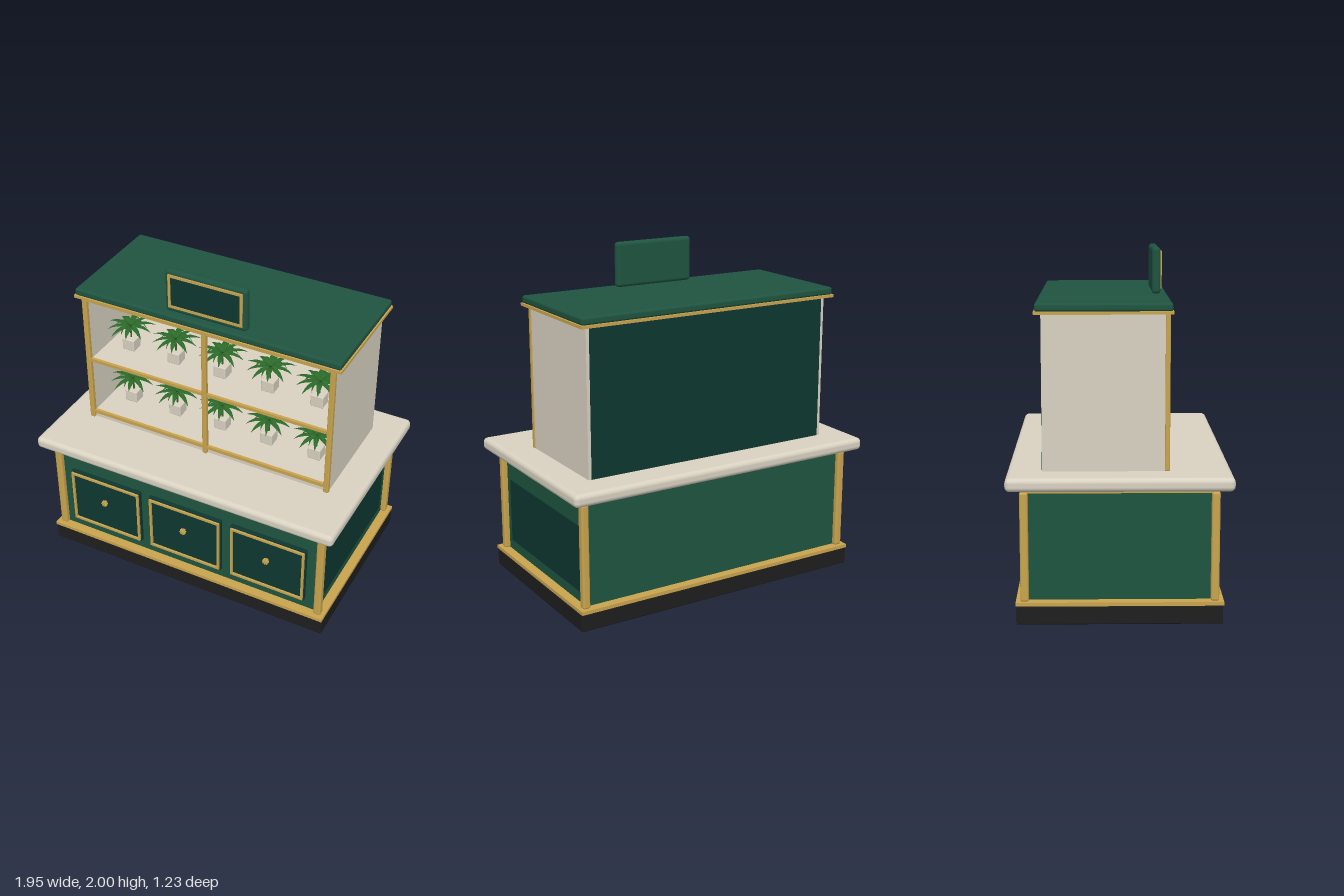
import * as THREE from 'three';
import { mergeGeometries } from 'three/addons/utils/BufferGeometryUtils.js';
import { RoundedBoxGeometry } from 'three/addons/geometries/RoundedBoxGeometry.js';

const mat = (name, color, extra = {}) =>
  Object.assign(new THREE.MeshStandardMaterial({ color, ...extra }), { name });

export function createModel() {
  const green = mat('cabinet green', 0x1f5440);
  const dark = mat('panel dark green', 0x0d3731);
  const gold = mat('gold trim', 0xc9a44e);
  const cream = mat('cream stone', 0xd9d2c2);
  const black = mat('plinth black', 0x1e1e1e);
  const leaf = mat('leaf green', 0x2c6a2a, { side: THREE.DoubleSide });
  const stemMat = mat('stem green', 0x3c5f2a);

  const model = new THREE.Group();
  model.name = 'plantDisplayCounter';

  const add = (name, geometry, material, parent = model) => {
    const mesh = new THREE.Mesh(geometry, material);
    mesh.name = name;
    parent.add(mesh);
    return mesh;
  };
  // Box given by its limits on each axis; r rounds the edges
  const box = (name, material, [x0, x1], [y0, y1], [z0, z1], r = 0, parent = model) => {
    const s = [x1 - x0, y1 - y0, z1 - z0];
    const g = r ? new RoundedBoxGeometry(...s, 4, r) : new THREE.BoxGeometry(...s);
    const mesh = add(name, g, material, parent);
    mesh.position.set((x0 + x1) / 2, (y0 + y1) / 2, (z0 + z1) / 2);
    return mesh;
  };
  // Rectangular moulding with an open middle
  const frame = (name, cx, cy, w, h, bar, z, depth, parent = model) => {
    const rect = (T, a, b) => new T([[-a, -b], [a, -b], [a, b], [-a, b]].map(p => new THREE.Vector2(...p)));
    const shape = rect(THREE.Shape, w / 2, h / 2);
    shape.holes.push(rect(THREE.Path, w / 2 - bar, h / 2 - bar));
    const g = new THREE.ExtrudeGeometry(shape, { depth, bevelEnabled: false });
    add(name, g, gold, parent).position.set(cx, cy, z);
  };

  // Lower counter
  box('plinth', black, [-0.925, 0.925], [0, 0.104], [-0.56, 0.56], 0.008);
  box('plinthTrim', gold, [-0.925, 0.925], [0.104, 0.125], [-0.565, 0.565]);
  box('counterBody', green, [-0.87, 0.87], [0.125, 0.73], [-0.51, 0.51]);
  box('counterTrim', gold, [-0.895, 0.895], [0.725, 0.747], [-0.535, 0.535]);
  box('counterTop', cream, [-0.975, 0.975], [0.747, 0.822], [-0.613, 0.613], 0.028);
  for (const sx of [-1, 1]) for (const sz of [-1, 1]) {
    const x = sx * 0.88, z = sz * 0.517;
    box('cornerPost', gold, [x - 0.023, x + 0.023], [0.122, 0.73], [z - 0.023, z + 0.023], 0.012);
  }
  box('sidePanel', dark, [0.87, 0.876], [0.19, 0.58], [-0.445, 0.445]);

  // Drawers with gold mouldings and lobed knobs
  const knobShape = new THREE.Shape();
  for (let i = 0; i <= 32; i++) {
    const a = (i / 32) * Math.PI * 2, r = 0.017 + 0.003 * Math.cos(a * 8);
    knobShape[i ? 'lineTo' : 'moveTo'](Math.cos(a) * r, Math.sin(a) * r);
  }
  const knobGeo = new THREE.ExtrudeGeometry(knobShape, {
    depth: 0.016, bevelEnabled: true, bevelSize: 0.003, bevelThickness: 0.004, bevelOffset: -0.003, bevelSegments: 2
  });
  for (const x of [-0.55, 0, 0.55]) {
    const drawer = new THREE.Group();
    drawer.name = 'drawer';
    model.add(drawer);
    box('drawerFront', dark, [x - 0.243, x + 0.243], [0.19, 0.58], [0.5, 0.532], 0.006, drawer);
    frame('drawerMoulding', x, 0.385, 0.474, 0.366, 0.014, 0.53, 0.014, drawer);
    add('knob', knobGeo, gold, drawer).position.set(x, 0.42, 0.545);
    const neck = add('knobNeck', new THREE.CylinderGeometry(0.007, 0.007, 0.02, 12), gold, drawer);
    neck.rotation.x = Math.PI / 2;
    neck.position.set(x, 0.42, 0.54);
  }

  // Upper display case
  box('caseFloor', cream, [-0.775, 0.775], [0.82, 0.868], [-0.412, 0.255]);
  box('caseBack', dark, [-0.775, 0.775], [0.822, 1.678], [-0.422, -0.4]);
  for (const s of [-1, 1]) {
    const x = s * 0.782;
    box('caseSide', cream, [x - 0.012, x + 0.012], [0.82, 1.678], [-0.42, 0.26]);
    box('frontPost', gold, [s * 0.784 - 0.016, s * 0.784 + 0.016], [0.822, 1.678], [0.245, 0.272], 0.006);
  }
  box('middlePost', gold, [-0.015, 0.015], [0.822, 1.678], [0.245, 0.274], 0.006);
  box('shelf', cream, [-0.772, 0.772], [1.225, 1.25], [-0.402, 0.25]);
  box('shelfTrim', gold, [-0.772, 0.772], [1.236, 1.256], [0.248, 0.266]);
  box('floorTrim', gold, [-0.772, 0.772], [0.853, 0.875], [0.248, 0.266]);
  box('topTrim', gold, [-0.772, 0.772], [1.655, 1.678], [0.248, 0.266]);
  box('roofTrim', gold, [-0.838, 0.838], [1.675, 1.692], [-0.457, 0.287]);
  box('roof', green, [-0.833, 0.833], [1.69, 1.735], [-0.452, 0.283], 0.014);
  box('storageBin', cream, [0.545, 0.737], [0.868, 1.097], [-0.33, -0.16], 0.035);

  // Sign board above the roof
  box('signBoard', green, [-0.255, 0.255], [1.733, 2], [0.193, 0.243], 0.022);
  box('signPanel', dark, [-0.225, 0.225], [1.772, 1.968], [0.24, 0.246]);
  frame('signMoulding', 0, 1.87, 0.462, 0.21, 0.016, 0.24, 0.01);

  // Folded pointed leaf along +x, arching up and then down
  const leafGeometry = (len, wide, rise, turn) => {
    const pos = [], idx = [];
    const n = 5;
    for (let i = 0; i <= n; i++) {
      const t = i / n;
      const w = wide * Math.sin(Math.PI * Math.pow(0.08 + 0.92 * t, 0.8));
      const y = rise * (2.6 * t - 2.8 * t * t);
      pos.push(len * t, y - w * 0.25, -w, len * t, y, 0, len * t, y - w * 0.25, w);
      if (i < n) for (const k of [0, 1]) {
        const a = i * 3 + k;
        idx.push(a, a + 1, a + 3, a + 1, a + 4, a + 3);
      }
    }
    const g = new THREE.BufferGeometry();
    g.setAttribute('position', new THREE.Float32BufferAttribute(pos, 3));
    g.setIndex(idx);
    g.computeVertexNormals();
    return g.rotateY(turn);
  };
  const leaves = [];
  for (let i = 0; i < 10; i++) {
    leaves.push(leafGeometry(i % 2 ? 0.155 : 0.14, 0.017, 0.035, (i / 10) * Math.PI * 2));
  }
  for (let i = 0; i < 6; i++) {
    leaves.push(leafGeometry(0.1, 0.014, 0.07, ((i + 0.4) / 6) * Math.PI * 2));
  }
  const crownGeo = mergeGeometries(leaves);
  const potGeo = new RoundedBoxGeometry(0.08, 0.075, 0.08, 2, 0.006);
  const stemGeo = new THREE.CylinderGeometry(0.004, 0.006, 0.09, 8);

  // Two rows of potted plants
  for (const y of [0.868, 1.25]) for (let i = -2; i <= 2; i++) {
    const plant = new THREE.Group();
    plant.name = 'pottedPlant';
    plant.position.set(i * 0.31, y, 0.04);
    add('pot', potGeo, cream, plant).position.y = 0.0375;
    add('stem', stemGeo, stemMat, plant).position.y = 0.113;
    add('leaves', crownGeo, leaf, plant).position.y = 0.15;
    model.add(plant);
  }
  return model;
}
